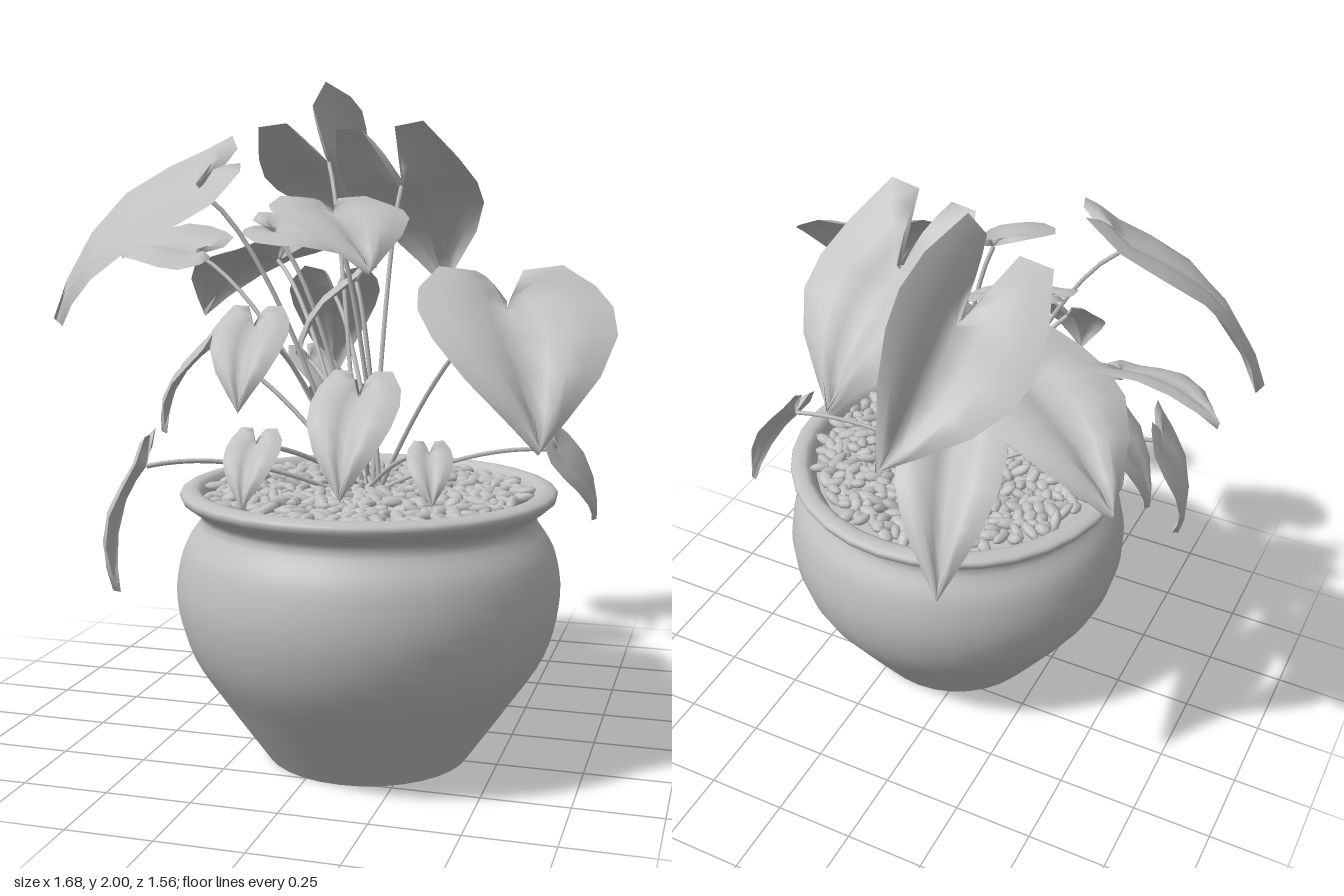
import * as THREE from 'three';
import { mergeVertices } from 'three/addons/utils/BufferGeometryUtils.js';

const V = (x, y, z) => new THREE.Vector3(x, y, z);

// Heart outline of half a leaf: [midrib position, outline along, outline across]
const HEART = [
  [0, -0.02, 0.03], [0, -0.26, 0.25], [0, -0.26, 0.65], [0.03, -0.08, 0.92],
  [0.12, 0.12, 1], [0.32, 0.36, 0.93], [0.55, 0.62, 0.67], [0.8, 0.84, 0.3], [1, 1, 0],
];

// Heart blade from stalk joint to tip; roll turns it about the midrib,
// fold lifts both sides, lobe lengthens the two back lobes
function leafGeometry(base, tip, halfWidth, roll = 0, fold = 0.1, lobe = 1) {
  const axis = tip.clone().sub(base);
  const length = axis.length();
  const side = V(-axis.z, 0, axis.x).normalize().applyAxisAngle(axis.clone().normalize(), roll);
  const up = side.clone().cross(axis).normalize();
  const half = 4, cols = half * 2 + 1, pos = [], index = [];
  for (const [m, a, b] of HEART) {
    const edge = a < 0 ? a * lobe : a;
    for (let c = -half; c <= half; c++) {
      const f = Math.abs(c) / half;
      const along = m + (edge - m) * f;
      const arch = length * (0.5 * Math.max(0, along) * (1 - along) + 0.06 * Math.sin(Math.PI * f));
      const p = base.clone().addScaledVector(axis, along)
        .addScaledVector(side, halfWidth * b * c / half)
        .addScaledVector(up, arch + fold * halfWidth * b * f);
      pos.push(p.x, p.y, p.z);
    }
  }
  for (let r = 0; r < HEART.length - 1; r++) {
    for (let c = 0; c < cols - 1; c++) {
      const i = r * cols + c, j = i + cols;
      index.push(i, j, i + 1, i + 1, j, j + 1);
    }
  }
  let geo = new THREE.BufferGeometry();
  geo.setAttribute('position', new THREE.Float32BufferAttribute(pos, 3));
  geo.setIndex(index);
  geo = mergeVertices(geo, 1e-5);
  geo.computeVertexNormals();
  return geo;
}

export function createModel() {
  const model = new THREE.Group();
  model.name = 'pottedPlant';
  const grey = new THREE.MeshStandardMaterial({ color: 0xc0c0c0, side: THREE.DoubleSide });
  grey.name = 'plainGrey';

  let seed = 7;
  const random = () => (seed = (seed * 16807) % 2147483647) / 2147483647;
  const add = (parent, name, geo) => {
    const mesh = new THREE.Mesh(geo, grey);
    mesh.name = name;
    parent.add(mesh);
    return mesh;
  };

  // Pot with a rolled rim, smoothed through a few profile points
  const pot = new THREE.Group();
  pot.name = 'pot';
  pot.position.set(0.105, 0, 0.22);
  model.add(pot);
  const profile = new THREE.SplineCurve([
    [0.3, 0], [0.42, 0.17], [0.52, 0.325], [0.56, 0.48], [0.54, 0.62], [0.487, 0.715],
    [0.542, 0.768], [0.54, 0.795], [0.49, 0.795], [0.46, 0.72],
  ].map(([x, y]) => new THREE.Vector2(x, y)));
  add(pot, 'potWall', new THREE.LatheGeometry(profile.getPoints(36), 32));
  add(pot, 'potBase', new THREE.CircleGeometry(0.3, 32).rotateX(Math.PI / 2));
  add(pot, 'soil', new THREE.CircleGeometry(0.465, 32).rotateX(-Math.PI / 2)).position.y = 0.755;

  // Pebbles scattered on a sunflower spiral
  const pebbles = new THREE.Group();
  pebbles.name = 'pebbles';
  pot.add(pebbles);
  const stone = new THREE.SphereGeometry(1, 8, 5);
  const count = 480;
  for (let i = 0; i < count; i++) {
    const r = 0.455 * Math.sqrt((i + 0.5) / count), t = i * 2.39996;
    const pebble = add(pebbles, 'pebble', stone);
    pebble.position.set(r * Math.cos(t), 0.768 + random() * 0.02, r * Math.sin(t));
    pebble.rotation.set((random() - 0.5) * 0.9, random() * Math.PI, (random() - 0.5) * 0.9);
    pebble.scale.set(0.028 + random() * 0.014, 0.015, 0.015 + random() * 0.008);
  }

  // Each leaf sits on a stalk rising from the middle of the pot
  const foliage = new THREE.Group();
  foliage.name = 'foliage';
  model.add(foliage);
  const addLeaf = (base, tip, ...shape) => {
    add(foliage, 'leaf', leafGeometry(base, tip, ...shape));
    const root = V(0.09 + (random() - 0.5) * 0.09, 0.74, 0.17 + (random() - 0.5) * 0.09);
    const bend = root.clone().lerp(base, 0.55);
    bend.y = Math.max(0.74 + (base.y - 0.74) * 0.85, 0.92);
    const path = new THREE.QuadraticBezierCurve3(root, bend, base);
    add(foliage, 'stalk', new THREE.TubeGeometry(path, 14, 0.007, 6));
  };

  // Tall crown, back to front
  addLeaf(V(-0.21, 1.74, -0.42), V(-0.16, 1.49, -0.77), 0.2, -0.75, 0.7, 2);
  addLeaf(V(0.11, 1.66, -0.13), V(0.18, 1.34, -0.42), 0.22, -0.1, 0.15, 2);
  addLeaf(V(-0.16, 1.31, -0.32), V(-0.26, 1, -0.64), 0.15, 0, 0.3);
  addLeaf(V(-0.3, 1.43, -0.16), V(-0.64, 1.23, -0.38), 0.21, 0, 0.1, 1.3);
  addLeaf(V(-0.53, 1.45, -0.05), V(-0.83, 1.43, -0.14), 0.15, -0.42);
  addLeaf(V(-0.22, 1.52, 0.1), V(0.08, 1.42, 0.05), 0.15, 0.33);
  addLeaf(V(0, 1.58, 0.24), V(0.17, 1.42, 0.46), 0.2);
  addLeaf(V(-0.38, 1.64, 0.27), V(-0.81, 1.25, 0.33), 0.3, -0.4);

  // Large leaves hanging outside the rim
  addLeaf(V(0.55, 1.34, 0.48), V(0.68, 1, 0.74), 0.26, 0, 0.2);
  addLeaf(V(-0.43, 1.17, 0.1), V(-0.58, 0.9, 0.1), 0.16, -0.25);
  addLeaf(V(-0.48, 0.87, 0.48), V(-0.56, 0.5, 0.5), 0.14);
  addLeaf(V(0.62, 0.9, 0.06), V(0.72, 0.67, -0.06), 0.11, 0.9);

  // Small drooping leaves: joint x, y, z, length, heading
  for (const [x, y, z, length, heading] of [
    [-0.16, 1.27, 0.45, 0.27, 0.05], [0.03, 1.38, 0.09, 0.28, -1.3], [-0.18, 1.12, -0.1, 0.23, 1.1],
    [-0.08, 1.01, -0.1, 0.27, 3.2], [0.13, 1.08, 0.41, 0.32, 0], [-0.14, 0.95, 0.5, 0.2, 0],
    [0.33, 0.93, 0.41, 0.16, 0.3],
  ]) {
    const base = V(x, y, z);
    const droop = V(0.6 * Math.sin(heading), -0.8, 0.6 * Math.cos(heading));
    addLeaf(base, base.clone().addScaledVector(droop, length), length * 0.4);
  }
  return model;
}
